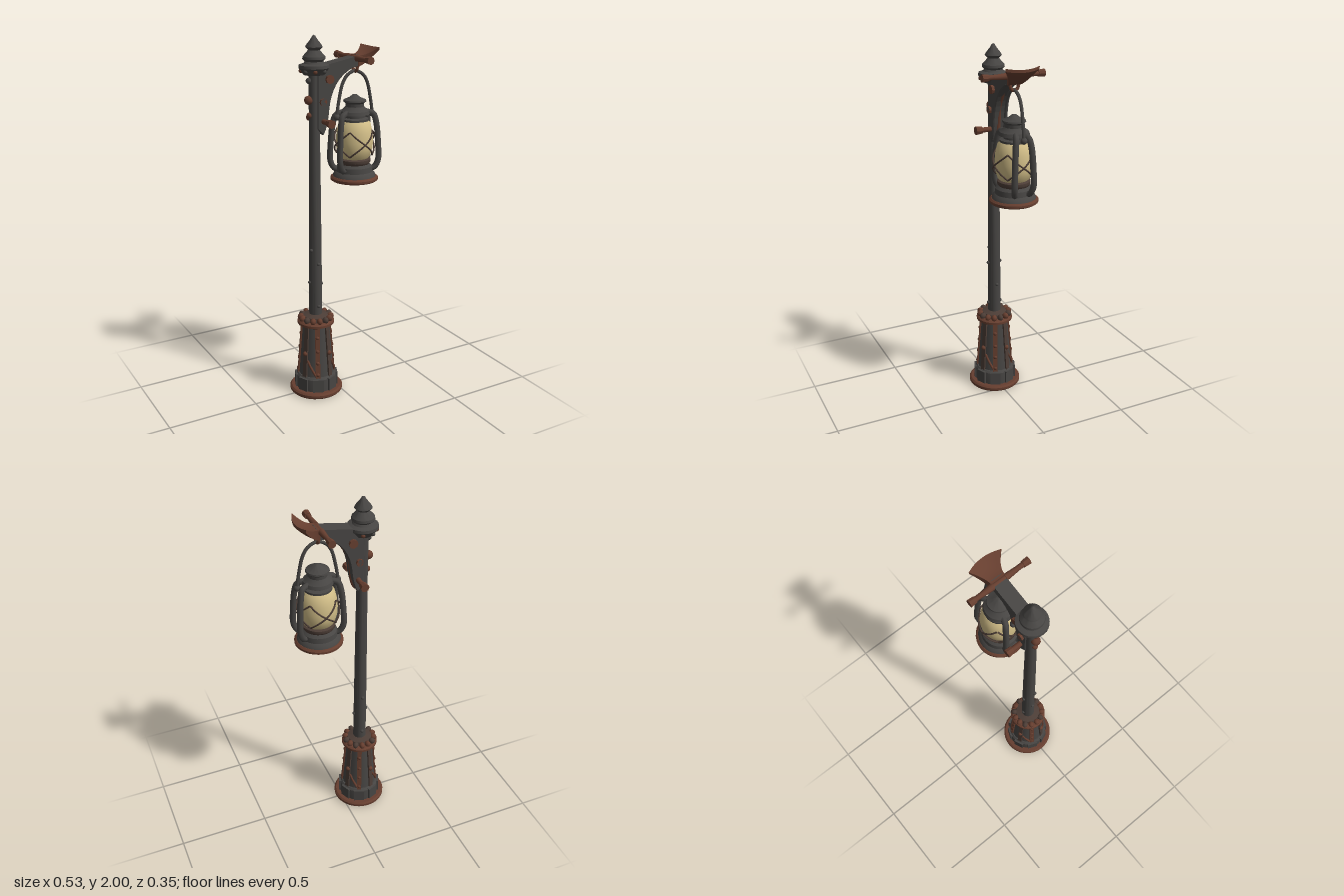
import * as THREE from 'three';
import { toCreasedNormals } from 'three/addons/utils/BufferGeometryUtils.js';

const POST_X = -0.117, LAMP_X = 0.128;

export function createModel() {
  const iron = new THREE.MeshStandardMaterial({ name: 'dark iron', color: 0x474543 });
  const rust = new THREE.MeshStandardMaterial({ name: 'rust', color: 0x663e2f });
  const worn = new THREE.MeshStandardMaterial({ name: 'worn iron', color: 0x4c3d36 });
  const glass = new THREE.MeshStandardMaterial({ name: 'cream glass', color: 0xd2be88 });

  const model = new THREE.Group();
  model.name = 'streetLantern';
  const group = (name, x) => {
    const g = new THREE.Group();
    g.name = name;
    g.position.x = x;
    model.add(g);
    return g;
  };
  const post = group('post', POST_X), lamp = group('lamp', LAMP_X), arm = group('arm', 0);

  const add = (parent, name, geo, mat, x = 0, y = 0, z = 0) => {
    const m = new THREE.Mesh(geo, mat);
    m.name = name;
    m.position.set(x, y, z);
    parent.add(m);
    return m;
  };
  // profile is [radius, height] from bottom to top
  const lathe = (parent, name, profile, mat, sides = 28) => add(parent, name,
    toCreasedNormals(new THREE.LatheGeometry(profile.map(p => new THREE.Vector2(...p)), sides), 0.6), mat);
  const tube = (parent, name, pts, r, mat, closed = false) => add(parent, name,
    new THREE.TubeGeometry(new THREE.CatmullRomCurve3(pts.map(p => new THREE.Vector3(...p)), closed), 32, r, 7, closed), mat);
  const rivet = (parent, r, mat, x, y, z) => add(parent, 'rivet', new THREE.SphereGeometry(r, 10, 7), mat, x, y, z);
  // box whose length runs along x; rule(t, v) gives the spine at t
  const warpedBox = (rule) => {
    const g = new THREE.BoxGeometry(1, 1, 1, 10, 1, 8), p = g.attributes.position;
    for (let i = 0; i < p.count; i++) {
      p.setXYZ(i, ...rule(p.getX(i) + 0.5, p.getY(i), p.getZ(i) * 2));
    }
    g.computeVertexNormals();
    return g;
  };

  // Foot, plinth and tapered pedestal
  lathe(post, 'footDisc', [[0, 0], [0.142, 0], [0.149, 0.008], [0.149, 0.022], [0.14, 0.03], [0, 0.03]], rust, 32);
  lathe(post, 'plinth', [[0, 0.03], [0.117, 0.03], [0.115, 0.1], [0.105, 0.112], [0, 0.112]], iron, 16);
  const pedestal = new THREE.CylinderGeometry(0.076, 0.1, 0.32, 16, 1);
  add(post, 'pedestal', pedestal, iron, 0, 0.26, 0);
  for (let i = 0; i < 8; i++) {
    const side = new THREE.Group();
    side.name = 'pedestalSide';
    side.rotation.y = (i + 0.5) * Math.PI / 4;
    post.add(side);
    const rib = add(side, 'pedestalRib', new THREE.BoxGeometry(0.026, 0.32, 0.016), i % 2 ? rust : worn, 0, 0.255, 0.087);
    rib.rotation.x = -0.075;
    add(side, 'plinthBlock', new THREE.BoxGeometry(0.06, 0.075, 0.02), iron, 0, 0.067, 0.11);
    if (i % 2) [0.13, 0.2, 0.27, 0.35].forEach(y => rivet(side, 0.013, rust, 0, y, 0.107 - y * 0.075));
    else rivet(side, 0.014, rust, 0, 0.25, 0.094);
    // slanted strip across the panel
    if (i % 2 === 0) tube(side, 'slantedStrip', [[0.012, 0.21, 0.09], [0.035, 0.17, 0.088], [0.062, 0.125, 0.08]], 0.007, rust);
  }

  // Collar with a crown of lumps
  lathe(post, 'collar', [[0, 0.408], [0.09, 0.408], [0.103, 0.415], [0.103, 0.428], [0.092, 0.437], [0, 0.437]], rust);
  for (let i = 0; i < 14; i++) {
    const a = i / 14 * Math.PI * 2;
    const lump = add(post, 'collarLump', new THREE.IcosahedronGeometry(0.019, 1), i % 3 ? rust : worn,
      Math.cos(a) * 0.082, 0.449, Math.sin(a) * 0.082);
    lump.rotation.y = -a;
    lump.scale.set(1.05, 1, 0.85);
  }
  lathe(post, 'collarTop', [[0, 0.43], [0.075, 0.43], [0.07, 0.46], [0.036, 0.47]], worn);

  // Pole with scattered rivets
  lathe(post, 'pole', [[0.037, 0.44], [0.035, 0.8], [0.032, 1.2], [0.029, 1.5], [0.029, 1.82]], iron, 20);
  for (const [y, a] of [[0.52, 1.57], [0.52, -1.57], [0.66, 3.14], [0.64, 0], [0.77, 1.57], [0.77, -1.57], [0.85, 2.7]]) {
    rivet(post, 0.01, iron, Math.cos(a) * 0.036, y, Math.sin(a) * 0.036);
  }

  // Layered cap and pointed finial
  lathe(post, 'cap', [[0, 1.8], [0.055, 1.8], [0.072, 1.825], [0.08, 1.835], [0.078, 1.85], [0.055, 1.858], [0.048, 1.868],
    [0.06, 1.88], [0.058, 1.893], [0.042, 1.91], [0.03, 1.925], [0.045, 1.94], [0.04, 1.95], [0.018, 1.978], [0.008, 1.995], [0, 2]], iron);
  for (let i = 0; i < 8; i++) {
    const a = (i + 0.5) * Math.PI / 4;
    rivet(post, 0.012, i % 2 ? iron : rust, Math.cos(a) * 0.067, 1.82, Math.sin(a) * 0.067);
  }

  // Arm and curved bracket
  add(arm, 'armBeam', warpedBox((t, y, z) =>
    [-0.11 + 0.25 * t, 1.815 + 0.045 * t + y * 0.052, z * 0.037]), iron);
  add(arm, 'flaredTip', warpedBox((t, y, z) => [
    0.125 + t * 0.105 + 0.012 * t * (1 - 2 * z * z), 1.857 + 0.058 * t * t + 0.008 * t * z * z + y * (0.06 - 0.045 * t),
    z * (0.04 + 0.054 * t * t)]), rust);
  const web = new THREE.Shape();
  web.moveTo(-0.11, 1.52);
  web.lineTo(-0.08, 1.49);
  web.quadraticCurveTo(-0.055, 1.53, -0.047, 1.62);
  web.quadraticCurveTo(-0.03, 1.77, 0.09, 1.825);
  web.lineTo(0.08, 1.845);
  web.lineTo(-0.11, 1.81);
  const webGeo = new THREE.ExtrudeGeometry(web, { depth: 0.056, bevelEnabled: true, bevelThickness: 0.006, bevelSize: 0.004, bevelSegments: 1, curveSegments: 8 });
  add(arm, 'bracket', webGeo, iron, 0, 0, -0.028);
  tube(arm, 'bracketScroll', [[-0.085, 1.5, 0], [-0.068, 1.53, 0], [-0.06, 1.6, 0], [-0.045, 1.69, 0], [0, 1.775, 0]], 0.018, rust);

  // Cross bar, through bolts and knobs
  const zBolt = (name, x, y, half, r, knob, mat) => {
    const rod = add(arm, name, new THREE.CylinderGeometry(r, r, half * 2, 10), mat, x, y, 0);
    rod.rotation.x = Math.PI / 2;
    for (const s of [-1, 1]) {
      const head = add(arm, name + 'Head', toCreasedNormals(new THREE.CylinderGeometry(knob, knob * 0.85, 0.036, 8), 0.5), rust, x, y, s * (half - 0.018));
      head.rotation.x = s * Math.PI / 2;
    }
  };
  zBolt('crossBar', 0.118, 1.873, 0.174, 0.013, 0.021, rust);
  for (const s of [-1, 1]) {
    const neck = add(arm, 'crossBarNeck', new THREE.CylinderGeometry(0.011, 0.018, 0.1, 10), rust, 0.118, 1.872, s * 0.085);
    neck.rotation.x = s * Math.PI / 2;
  }
  zBolt('lowerBolt', -0.08, 1.557, 0.122, 0.014, 0.023, rust);
  zBolt('upperBolt', -0.048, 1.775, 0.05, 0.018, 0.024, rust);
  zBolt('middleBolt', -0.085, 1.66, 0.047, 0.018, 0.02, iron);
  rivet(arm, 0.024, rust, -0.15, 1.67, 0);
  rivet(arm, 0.016, iron, -0.148, 1.77, 0);
  rivet(arm, 0.016, rust, -0.145, 1.59, 0);
  add(arm, 'hangingHook', new THREE.TorusGeometry(0.022, 0.009, 8, 18), rust, LAMP_X, 1.822, 0).rotation.y = Math.PI / 2;

  // Lamp tank
  lathe(lamp, 'tankRim', [[0, 1.21], [0.122, 1.21], [0.13, 1.216], [0.13, 1.228], [0.12, 1.237], [0, 1.237]], rust, 32);
  lathe(lamp, 'tank', [[0.118, 1.235], [0.112, 1.25], [0.1, 1.262], [0.096, 1.29], [0.08, 1.305], [0, 1.31]], iron);
  lathe(lamp, 'burnerRing', [[0, 1.3], [0.078, 1.3], [0.088, 1.315], [0.088, 1.33], [0.07, 1.34], [0, 1.34]], worn);

  // Glass, chimney and hood
  lathe(lamp, 'glass', [[0.07, 1.33], [0.085, 1.345], [0.098, 1.39], [0.101, 1.43], [0.097, 1.48], [0.086, 1.525], [0.07, 1.545], [0, 1.55]], glass, 32);
  lathe(lamp, 'chimney', [[0, 1.535], [0.075, 1.535], [0.075, 1.55], [0.055, 1.556], [0.055, 1.57], [0.082, 1.574], [0.076, 1.592],
    [0.058, 1.605], [0.05, 1.615], [0.05, 1.632], [0.062, 1.642], [0.06, 1.65], [0.03, 1.663], [0.012, 1.678], [0, 1.68]], iron);

  // Four side tubes
  for (const sx of [-1, 1]) {
    for (const sz of [-1, 1]) {
      tube(lamp, 'sideTube', [[sx * 0.06, 1.585, sz * 0.022], [sx * 0.095, 1.572, sz * 0.035], [sx * 0.108, 1.53, sz * 0.044],
        [sx * 0.118, 1.41, sz * 0.052], [sx * 0.118, 1.32, sz * 0.054], [sx * 0.1, 1.28, sz * 0.045], [sx * 0.07, 1.27, sz * 0.03]], 0.0165, iron);
    }
    rivet(lamp, 0.018, iron, sx * 0.11, 1.565, 0);
  }

  // Crossed guard wires around the glass
  for (let q = 0; q < 4; q++) {
    for (const s of [-1, 1]) {
      const pts = [];
      for (let k = 0; k <= 6; k++) {
        const t = k / 6, a = q * Math.PI / 2 + s * (t - 0.5) * 1.57;
        const r = 0.098 + 0.014 * Math.sin(Math.PI * t);
        pts.push([Math.sin(a) * r, 1.355 + 0.135 * t, Math.cos(a) * r]);
      }
      tube(lamp, 'guardWire', pts, 0.0045, worn);
    }
  }

  // Carrying bail
  tube(lamp, 'bail', [[-0.112, 1.56, 0], [-0.1, 1.64, 0], [-0.074, 1.745, 0], [-0.045, 1.785, 0], [0, 1.803, 0],
    [0.045, 1.785, 0], [0.074, 1.745, 0], [0.1, 1.64, 0], [0.112, 1.56, 0]], 0.009, iron);

  return model;
}
